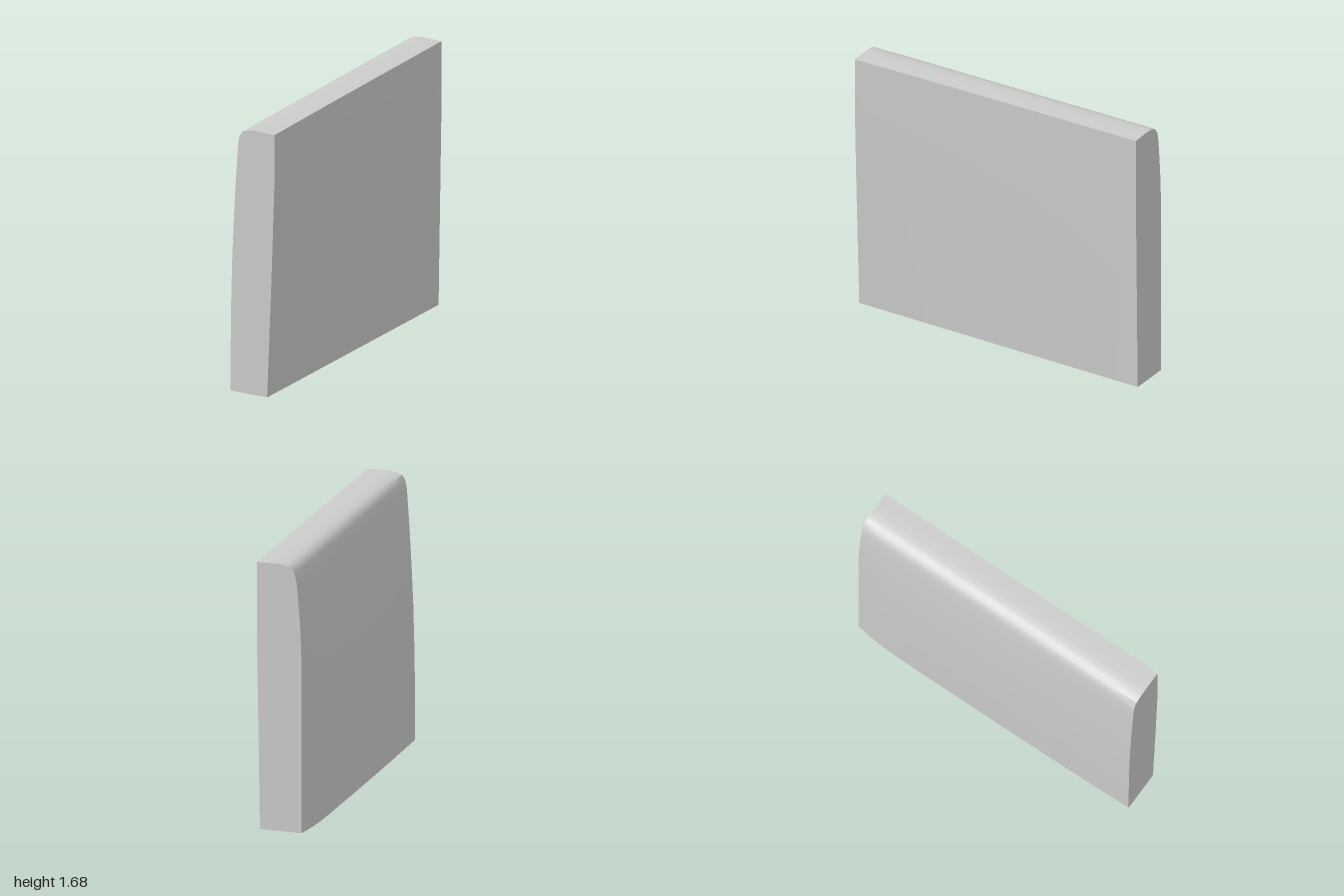
import * as THREE from 'three';
import { toCreasedNormals } from 'three/addons/utils/BufferGeometryUtils.js';

// Curved side: x at each height for the front end, the middle and the back end
const HEIGHTS = [0, 0.3, 0.55, 0.85, 1.1, 1.3, 1.45, 1.58, 1.63, 1.663];
const FRONT = [-0.15, -0.149, -0.146, -0.138, -0.127, -0.116, -0.106, -0.097, -0.087, -0.067];
const MIDDLE = [-0.16, -0.16, -0.159, -0.151, -0.14, -0.125, -0.112, -0.1, -0.088, -0.067];
const BACK = [-0.13, -0.13, -0.13, -0.13, -0.129, -0.122, -0.11, -0.098, -0.086, -0.065];

const mix = THREE.MathUtils.lerp;

// Counter-clockwise outline of the slab at depth z
function section(z) {
  const toFront = Math.max(0, z) ** 2;
  const toBack = Math.max(0, (-z - 0.5) / 0.5) ** 3;
  const u = (z + 1) / 2;
  const drop = 0.004 * toFront;
  const side = HEIGHTS.map((y, i) => [
    MIDDLE[i] + (FRONT[i] - MIDDLE[i]) * toFront + (BACK[i] - MIDDLE[i]) * toBack, y]);
  return [
    [mix(0.135, 0.105, u), 0], [mix(0.147, 0.135, u), 0.75],
    [0.155, mix(1.25, 1.35, u)], [0.155, 1.681 - drop],
    [0.09, 1.684 - drop], [0.03, 1.685 - drop], [-0.01, 1.682 - drop], [-0.04, 1.676 - drop],
    ...side.reverse(),
  ];
}

function slabGeometry() {
  const steps = 24, positions = [], index = [];
  const rings = [];
  for (let i = 0; i <= steps; i++) {
    const z = -1 + (2 * i) / steps;
    const ring = section(z);
    rings.push(ring);
    ring.forEach(([x, y]) => positions.push(x, y, z));
  }
  const n = rings[0].length;

  // Skin between neighbouring sections
  for (let i = 0; i < steps; i++) {
    for (let j = 0; j < n; j++) {
      const a = i * n + j, b = i * n + ((j + 1) % n);
      index.push(a, b, b + n, a, b + n, a + n);
    }
  }

  // Flat ends
  const cap = (ring, start, flip) => {
    const outline = ring.map(([x, y]) => new THREE.Vector2(x, y));
    for (const [a, b, c] of THREE.ShapeUtils.triangulateShape(outline, [])) {
      index.push(start + a, start + (flip ? c : b), start + (flip ? b : c));
    }
  };
  cap(rings[0], 0, true);
  cap(rings[steps], steps * n, false);

  const geometry = new THREE.BufferGeometry();
  geometry.setAttribute('position', new THREE.Float32BufferAttribute(positions, 3));
  geometry.setIndex(index);
  return toCreasedNormals(geometry, THREE.MathUtils.degToRad(38));
}

export function createModel() {
  const group = new THREE.Group();
  group.name = 'panel';
  const slab = new THREE.Mesh(slabGeometry(), new THREE.MeshStandardMaterial({ color: 0xcccccc }));
  slab.name = 'curvedSlab';
  group.add(slab);
  return group;
}
